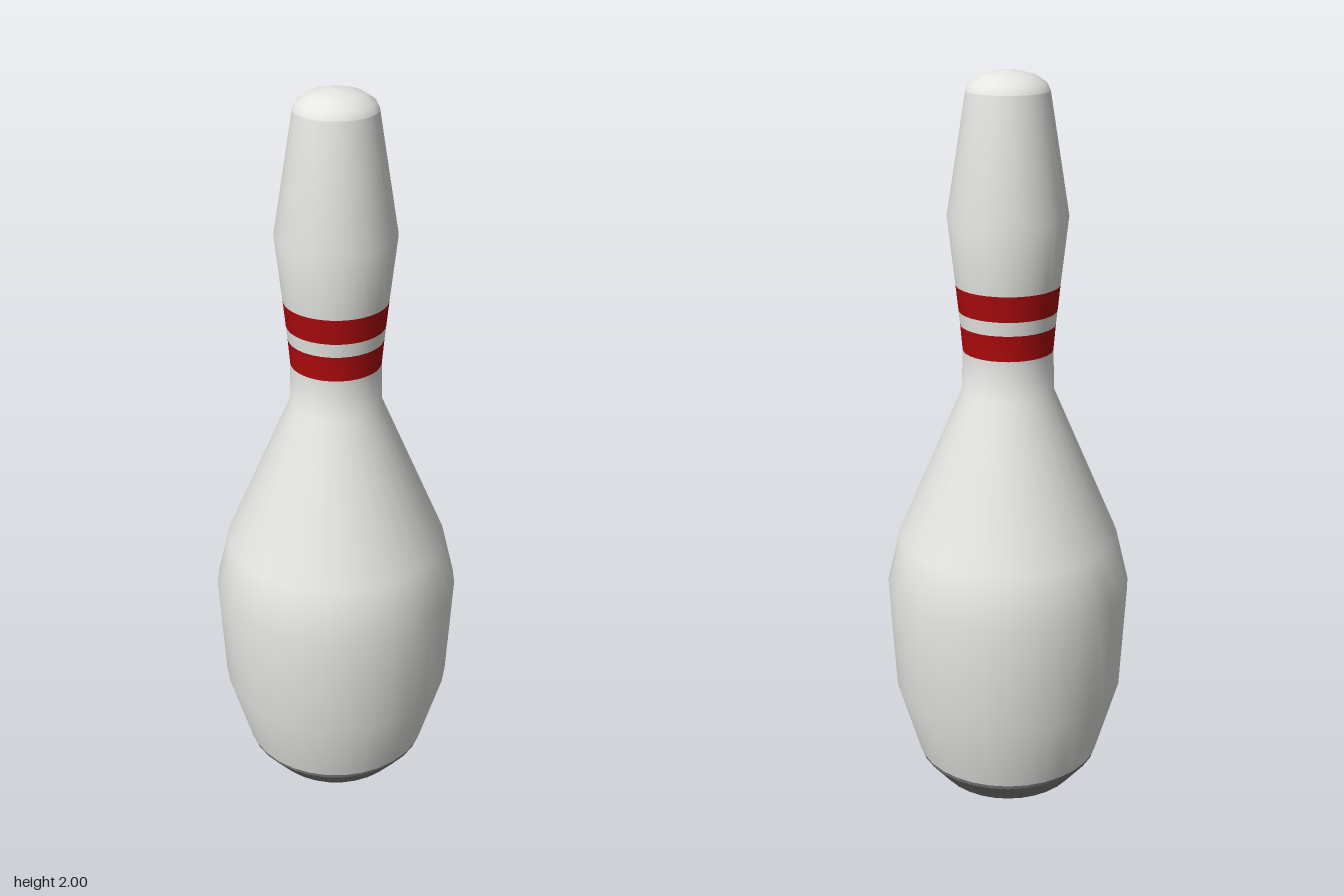
import * as THREE from 'three';

const SEGMENTS = 32;

function flat(name, color) {
  const material = new THREE.MeshStandardMaterial({ color });
  material.name = name;
  return material;
}
const white = flat('white', 0xe6e6e3);
const red = flat('red', 0xac0a0d);
const grey = flat('grey', 0x808080);

function lathe(profile) {
  return new THREE.LatheGeometry(profile.map(([r, y]) => new THREE.Vector2(r, y)), SEGMENTS);
}

// Sort the faces of a lathe into rings and give each ring a material index
function paintRings(geometry, ringMaterials) {
  const rings = ringMaterials.length;
  const old = geometry.index.array;
  const index = [];
  ringMaterials.forEach((material, ring) => {
    geometry.addGroup(index.length, SEGMENTS * 6, material);
    for (let s = 0; s < SEGMENTS; s++) {
      const start = (s * rings + ring) * 6;
      index.push(...old.slice(start, start + 6));
    }
  });
  geometry.setIndex(index);
  return geometry;
}

export function createModel() {
  const pin = new THREE.Group();
  pin.name = 'bowlingPin';

  const add = (name, geometry, material) => {
    const mesh = new THREE.Mesh(geometry, material);
    mesh.name = name;
    pin.add(mesh);
  };

  // Grey foot: flat underside and chamfer
  add('underside', lathe([[0, 0], [0.2, 0]]), grey);
  add('baseChamfer', lathe([[0.2, 0], [0.257, 0.07]]), grey);

  // Belly, neck and head in one smooth sweep, with a grey lower rim and two red neck stripes
  const body = [
    [0.257, 0.07], [0.261, 0.082], [0.322, 0.295], [0.338, 0.6], [0.302, 0.75],
    [0.124, 1.165], [0.121, 1.278], [0.127, 1.348], [0.131, 1.386],
    [0.138, 1.455], [0.158, 1.635], [0.107, 1.95],
  ];
  add('body', paintRings(lathe(body), [2, 0, 0, 0, 0, 0, 1, 0, 1, 0, 0]), [white, red, grey]);

  // Rounded crown
  add('crown', lathe([[0.107, 1.95], [0.098, 1.969], [0.07, 1.988], [0.035, 1.997], [0, 2]]), white);

  return pin;
}
